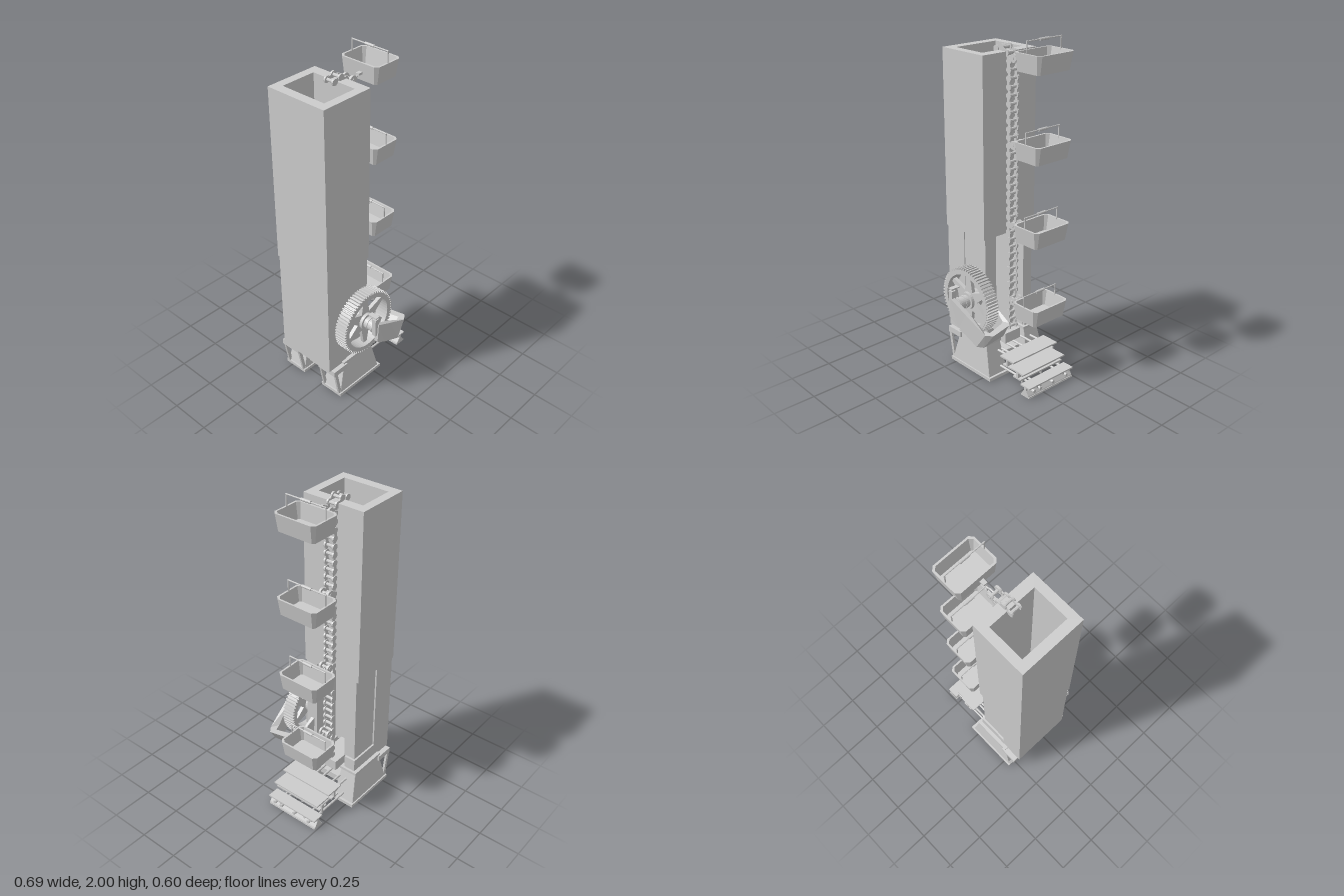
import * as THREE from 'three';

const mat = new THREE.MeshStandardMaterial({ color: 0xcccccc, flatShading: true });
const ZC = -0.07; // plane of the chain

function add(parent, name, geo, x = 0, y = 0, z = 0) {
  const m = new THREE.Mesh(geo, mat);
  m.name = name;
  m.position.set(x, y, z);
  parent.add(m);
  return m;
}
function group(parent, name) {
  const g = new THREE.Group();
  g.name = name;
  parent.add(g);
  return g;
}
// box from min / max corners
const box = (p, name, x0, x1, y0, y1, z0, z1) =>
  add(p, name, new THREE.BoxGeometry(x1 - x0, y1 - y0, z1 - z0), (x0 + x1) / 2, (y0 + y1) / 2, (z0 + z1) / 2);

// round bar between two points
function rod(p, name, a, b, r, sides = 10) {
  const A = new THREE.Vector3(...a), B = new THREE.Vector3(...b), d = B.clone().sub(A);
  const m = add(p, name, new THREE.CylinderGeometry(r, r, d.length(), sides), ...A.clone().add(B).multiplyScalar(0.5));
  m.quaternion.setFromUnitVectors(new THREE.Vector3(0, 1, 0), d.normalize());
  return m;
}

// closed solid through equal-length rings, turned so its faces point outward
function loft(rings) {
  const n = rings[0].length, tris = [];
  for (let r = 0; r + 1 < rings.length; r++)
    for (let i = 0; i < n; i++) {
      const j = (i + 1) % n, a = rings[r][i], b = rings[r][j], c = rings[r + 1][j], d = rings[r + 1][i];
      tris.push([a, b, c], [a, c, d]);
    }
  const s = rings[0], e = rings[rings.length - 1];
  for (let i = 1; i + 1 < n; i++) tris.push([s[0], s[i + 1], s[i]], [e[0], e[i], e[i + 1]]);
  let volume = 0;
  for (const [a, b, c] of tris)
    volume += new THREE.Vector3(...a).dot(new THREE.Vector3(...b).cross(new THREE.Vector3(...c)));
  if (volume < 0) tris.forEach(t => t.reverse());
  const g = new THREE.BufferGeometry();
  g.setAttribute('position', new THREE.Float32BufferAttribute(tris.flat(2), 3));
  g.computeVertexNormals();
  return g;
}
// horizontal rectangle with cut corners
const ring = (x0, x1, z0, z1, y, c = 0.002) => [
  [x0 + c, y, z0], [x1 - c, y, z0], [x1, y, z0 + c], [x1, y, z1 - c],
  [x1 - c, y, z1], [x0 + c, y, z1], [x0, y, z1 - c], [x0, y, z0 + c]];

const poly = pts => new THREE.Shape(pts.map(p => new THREE.Vector2(...p)));
const extrude = (shape, depth, seg = 24) =>
  new THREE.ExtrudeGeometry(shape, { depth, bevelEnabled: false, curveSegments: seg });

function tower(root) {
  const g = group(root, 'tower');
  // hollow upper shaft
  const s = poly([[-0.35, -0.125], [-0.02, -0.125], [-0.02, 0.26], [-0.35, 0.26]]);
  s.holes.push(poly([[-0.295, -0.075], [-0.295, 0.21], [-0.08, 0.21], [-0.08, -0.075]]));
  add(g, 'upperShaft', extrude(s, 1.035), 0, 0.865, 0).rotation.x = -Math.PI / 2;
  // lower part with open chain slot
  box(g, 'lowerBack', -0.345, -0.2, 0.21, 0.865, -0.255, 0.12);
  box(g, 'lowerSideLeft', -0.2, -0.022, 0.22, 0.865, 0.04, 0.115);
  box(g, 'lowerSideRight', -0.2, -0.022, 0.22, 0.865, -0.245, -0.18);
  box(g, 'slotRib', -0.2, -0.08, 0.22, 0.865, -0.18, -0.125);
}

function pedestals(root) {
  for (const s of [1, -1]) {
    const g = group(root, s > 0 ? 'leftPedestal' : 'rightPedestal');
    g.position.z = ZC + s * 0.15;
    box(g, 'footPlate', -0.295, 0.06, 0, 0.02, -0.078, 0.078);
    add(g, 'body', loft([ring(-0.285, 0.045, -0.07, 0.07, 0.02), ring(-0.233, 0, -0.052, 0.052, 0.21)]));
    box(g, 'collar', -0.24, 0.006, 0.205, 0.222, -0.058, 0.058);
    box(g, 'neck', -0.205, -0.008, 0.222, 0.3, -0.036, 0.036);
    // leaning frame under the rear of the shaft
    for (const z of [-0.06, 0.06])
      add(g, 'rearStrut', extrude(poly([[-0.295, 0.02], [-0.275, 0.02], [-0.31, 0.21], [-0.33, 0.21]]), 0.014), 0, 0, z - 0.007);
    box(g, 'rearTie', -0.33, -0.22, 0.175, 0.21, -0.067, 0.067);
  }
  box(root, 'chainSeat', -0.2, 0.01, 0.17, 0.235, -0.13, -0.01);
  box(root, 'pedestalTie', -0.24, -0.02, 0.06, 0.1, -0.15, 0.01);
}

function chain(root) {
  const g = group(root, 'chain');
  const path = [];
  for (let i = 0; i <= 34; i++) path.push([0, 0.27 + i * 0.0465]);
  path.push([-0.02, 1.893], [-0.055, 1.917], [-0.1, 1.905]);
  path.forEach(([x, y], i) => {
    rod(g, 'pin', [x, y, ZC - 0.032], [x, y, ZC + 0.032], 0.009, 8);
    for (const s of [-1, 1]) {
      const z = ZC + s * 0.027;
      rod(g, 'linkEye', [x, y, z - 0.005], [x, y, z + 0.005], 0.019, 12);
      const q = path[i + 1];
      if (!q) continue;
      const link = add(g, 'linkPlate', new THREE.BoxGeometry(Math.hypot(q[0] - x, q[1] - y), 0.02, 0.006),
        (x + q[0]) / 2, (y + q[1]) / 2, ZC + s * (i % 2 ? 0.029 : 0.024));
      link.rotation.z = Math.atan2(q[1] - y, q[0] - x);
    }
  });
}

function bucket(root, top) {
  const g = group(root, 'bucket');
  g.position.y = top;
  add(g, 'tub', loft([ring(0.128, 0.296, -0.205, 0.03, -0.1, 0.012), ring(0.12, 0.313, -0.22, 0.042, 0, 0.02),
    ring(0.131, 0.302, -0.209, 0.031, 0, 0.017), ring(0.138, 0.286, -0.195, 0.02, -0.09, 0.01)]));
  // carrying handle
  for (const z of [-0.211, 0.034]) rod(g, 'handlePost', [0.213, -0.015, z], [0.213, 0.065, z], 0.004, 8);
  rod(g, 'handleBar', [0.213, 0.063, -0.215], [0.213, 0.063, 0.038], 0.004, 8);
  rod(g, 'handleGrip', [0.213, 0.063, -0.12], [0.213, 0.063, -0.058], 0.008, 10);
  // hanger from the chain
  for (const s of [-1, 1]) {
    const z = ZC + s * 0.026;
    rod(g, 'hangerDisc', [0.035, -0.058, z - 0.006], [0.035, -0.058, z + 0.006], 0.024, 16);
    box(g, 'hangerLink', 0, 0.035, -0.07, -0.046, z - 0.004, z + 0.004);
  }
  rod(g, 'hangerPin', [0.035, -0.058, ZC - 0.035], [0.035, -0.058, ZC + 0.035], 0.009);
  const hook = new THREE.CatmullRomCurve3([[0.04, -0.055], [0.065, -0.058], [0.078, -0.07], [0.092, -0.07], [0.1, -0.056]]
    .map(([x, y]) => new THREE.Vector3(x, y, ZC)));
  add(g, 'hook', new THREE.TubeGeometry(hook, 16, 0.005, 8));
  box(g, 'hookLug', 0.095, 0.126, -0.062, -0.05, ZC - 0.012, ZC + 0.012);
}

function wheel(root) {
  const g = group(root, 'gearWheel');
  g.position.set(-0.1, 0.483, 0);
  // toothed rim
  const pts = [], teeth = 64;
  for (let i = 0; i < teeth; i++)
    for (const [f, r] of [[0, 0.188], [0.4, 0.188], [0.5, 0.2], [0.9, 0.2]]) {
      const a = (i + f) / teeth * Math.PI * 2;
      pts.push([r * Math.cos(a), r * Math.sin(a)]);
    }
  const rim = poly(pts);
  rim.holes.push(new THREE.Path().absarc(0, 0, 0.162, 0, Math.PI * 2, true));
  add(g, 'toothedRim', extrude(rim, 0.078), 0, 0, 0.125);
  // tapered spokes
  for (let i = 0; i < 6; i++)
    add(g, 'spoke', extrude(poly([[0, -0.042], [0.167, -0.012], [0.167, 0.012], [0, 0.042]]), 0.022), 0, 0, 0.155)
      .rotation.z = i * Math.PI / 3 + Math.PI / 6;
  rod(g, 'hubDisc', [0, 0, 0.11], [0, 0, 0.195], 0.052, 24);
  rod(g, 'hub', [0, 0, 0.19], [0, 0, 0.265], 0.037, 24);
  for (const z of [0.212, 0.25]) rod(g, 'hubBand', [0, 0, z], [0, 0, z + 0.01], 0.041, 24);
  // latch on the hub
  box(g, 'latchPlate', -0.04, -0.01, -0.03, 0.085, 0.262, 0.29);
  rod(g, 'latchPin', [-0.025, 0.08, 0.275], [-0.025, 0.1, 0.275], 0.006);
  box(g, 'latchCap', -0.04, -0.01, 0.095, 0.102, 0.235, 0.292);
}

// bent arm that wraps around the wheel
function arm(root) {
  add(root, 'wheelArm', loft([
    [[-0.12, 0.53, 0.297], [-0.13, 0.41, 0.297], [-0.13, 0.41, 0.272], [-0.12, 0.53, 0.272]],
    [[0, 0.465, 0.285], [-0.06, 0.36, 0.287], [-0.06, 0.36, 0.26], [0, 0.465, 0.257]],
    [[0.145, 0.386, 0.266], [0.08, 0.29, 0.274], [0.045, 0.29, 0.247], [0.1, 0.386, 0.238]],
    [[0.182, 0.386, 0.238], [0.116, 0.29, 0.25], [0.048, 0.29, 0.235], [0.142, 0.386, 0.225]],
    [[0.15, 0.386, 0.092], [0.09, 0.29, 0.08], [0.045, 0.29, 0.1], [0.1, 0.386, 0.09]],
    [[0.125, 0.386, 0.068], [0.05, 0.29, 0.066], [0.035, 0.29, 0.088], [0.09, 0.386, 0.086]],
    [[-0.03, 0.46, 0.062], [-0.06, 0.37, 0.062], [-0.06, 0.37, 0.085], [-0.03, 0.46, 0.085]]]));
}

function steps(root) {
  const g = group(root, 'steps');
  // [x centre, half width, bottom, top] of each I-shaped beam
  [[0.155, 0.057, 0.125, 0.178, -0.24], [0.24, 0.054, 0.085, 0.136, -0.22], [0.308, 0.037, 0, 0.068, -0.24]].forEach(([x, w, y0, y1, z0], i) => {
    const t = 0.009, bw = i === 2 ? 0.033 : 0.032;
    box(g, 'stepTop', x - w, x + w, y1 - t, y1, z0, 0.112);
    box(g, 'stepWeb', x - 0.008, x + 0.008, y0, y1, z0, 0.112);
    box(g, 'stepFlange', x - bw, x + bw, y0, y0 + t, z0, 0.112);
    for (const z of [0.07, 0.02, -0.08, -0.19])
      rod(g, 'bolt', [x, (y0 + y1) / 2, z], [x + (i === 2 ? 0.037 : 0.018), (y0 + y1) / 2, z], 0.01, 10);
  });
  // sloped foot on the lowest step
  add(g, 'stepFoot', extrude(poly([[0.274, 0], [0.342, 0], [0.335, 0.015], [0.318, 0.04], [0.298, 0.04], [0.281, 0.015]]), 0.352), 0, 0, -0.24);
  // tie bars back to the pedestals
  for (const z of [-0.212, -0.163, 0.022, 0.05]) {
    rod(g, 'upperTieBar', [-0.02, 0.152, z], [0.155, 0.152, z], 0.007);
    rod(g, 'lowerTieBar', [0, 0.055, z], [0.345, 0.055, z], 0.007);
  }
  for (const z of [-0.09, -0.04]) rod(g, 'centreTieBar', [-0.03, 0.152, z], [0.155, 0.152, z], 0.007);
  for (const z of [-0.22, -0.07, 0.08]) {
    rod(g, 'stepLink', [0.155, 0.118, z], [0.25, 0.118, z], 0.007);
    rod(g, 'stepPost', [0.25, 0.055, z], [0.25, 0.12, z], 0.007);
  }
}

export function createModel() {
  const root = new THREE.Group();
  root.name = 'bucketElevator';
  tower(root);
  pedestals(root);
  chain(root);
  for (let i = 0; i < 4; i++) bucket(root, 0.508 + i * 0.474);
  wheel(root);
  arm(root);
  steps(root);
  return root;
}
